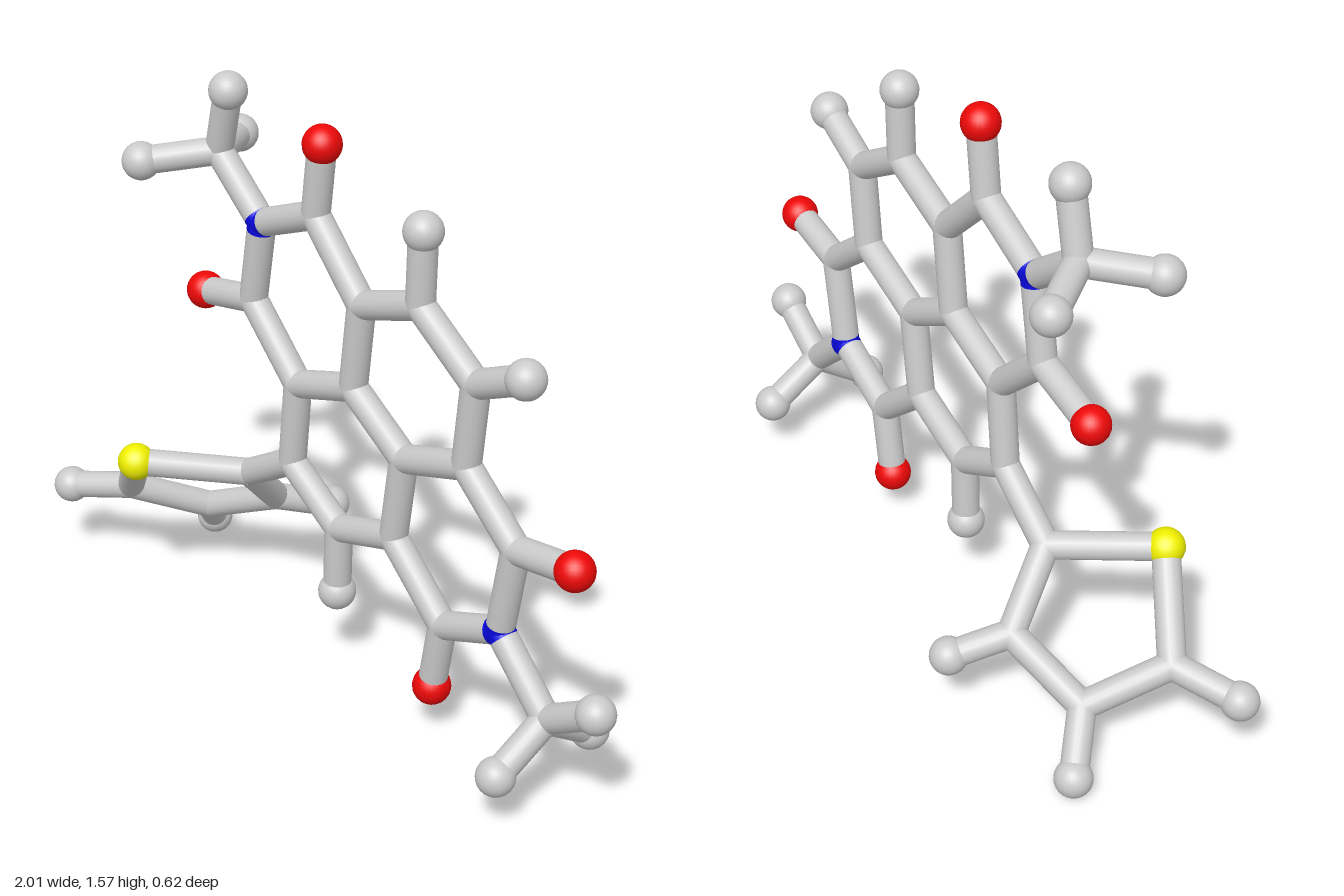
import * as THREE from 'three';

const STICK = 0.037, BALL = 0.05, STUB = 0.022;
const mats = {
  C: new THREE.MeshStandardMaterial({ color: 0xcccccc }),
  O: new THREE.MeshStandardMaterial({ color: 0xee0808 }),
  N: new THREE.MeshStandardMaterial({ color: 0x0808dd }),
  S: new THREE.MeshStandardMaterial({ color: 0xf0f000 }),
};
mats.H = mats.C;
const names = { C: 'carbonJoint', H: 'hydrogenBall', O: 'oxygenBall', N: 'nitrogenJoint', S: 'sulfurBall' };

// The fused rings lie in one slightly tilted plane
const plane = (x, y) => 0.058 + 0.035 * x + 0.01 * (y - 0.8);

// Each atom: x, y and, when off the plane, z. The first letter is the element.
const atoms = {
  // fused ring core
  C1: [0.09, 1.11], C2: [0.31, 1.19], C3: [0.51, 1.06], C4: [0.48, 0.83],
  C5: [0.25, 0.75], C6: [0.055, 0.87], C7: [-0.17, 0.79], C8: [-0.2, 0.55],
  C9: [-0.01, 0.435], C10: [0.21, 0.51],
  H2: [0.32, 1.385], H3: [0.68, 1.14], H9: [-0.02, 0.24],
  // upper left side ring
  C11: [-0.085, 1.29], O11: [-0.055, 1.485], N1: [-0.305, 1.195],
  C12: [-0.35, 0.965], O12: [-0.56, 0.915],
  // lower right side ring
  C13: [0.4, 0.34], O13: [0.36, 0.14], N2: [0.61, 0.43],
  C14: [0.66, 0.68], O14: [0.86, 0.715],
  // methyl ends
  C15: [-0.48, 1.335, 0.045], H15a: [-0.425, 1.515, 0.055],
  H15b: [-0.605, 1.31, 0.2], H15c: [-0.59, 1.31, -0.11],
  C16: [0.785, 0.265, 0.085], H16a: [0.95, 0.365, 0.09],
  H16b: [0.77, 0.16, 0.235], H16c: [0.785, 0.165, -0.07],
  // five-sided side ring
  C17: [-0.4, 0.43, 0.035], S1: [-0.6, 0.46, 0.26], C18: [-0.79, 0.265, 0.145],
  C19: [-0.7, 0.165, -0.06], C20: [-0.475, 0.265, -0.12],
  H18: [-0.955, 0.23, 0.23], H19: [-0.8, 0.05, -0.155], H20: [-0.41, 0.215, -0.265],
};

// Chains of bonded atoms, grouped by part
const chains = {
  fusedRings: ['C1 C2 C3 C4 C5 C6 C1', 'C6 C7 C8 C9 C10 C5', 'C2 H2', 'C3 H3', 'C9 H9'],
  upperSideRing: ['C1 C11 N1 C12 C7', 'C11 O11', 'C12 O12'],
  lowerSideRing: ['C10 C13 N2 C14 C4', 'C13 O13', 'C14 O14'],
  upperMethyl: ['N1 C15 H15a', 'H15b C15 H15c'],
  lowerMethyl: ['N2 C16 H16a', 'H16b C16 H16c'],
  sulfurRing: ['C8 C17 S1 C18 C19 C20 C17', 'C18 H18', 'C19 H19', 'C20 H20'],
};

const UP = new THREE.Vector3(0, 1, 0);
const at = (id) => {
  const [x, y, z = plane(x, y)] = atoms[id];
  return new THREE.Vector3(x, y, z);
};

function addStick(group, a, b, material, name) {
  const dir = b.clone().sub(a);
  const mesh = new THREE.Mesh(new THREE.CylinderGeometry(STICK, STICK, dir.length(), 20, 1), material);
  mesh.position.copy(a).lerp(b, 0.5);
  mesh.quaternion.setFromUnitVectors(UP, dir.normalize());
  mesh.name = name;
  group.add(mesh);
}

function addBond(group, idA, idB) {
  const a = at(idA), b = at(idB);
  const dir = b.clone().sub(a).normalize();
  // a nitrogen end gets a short blue stub before the grey stick begins
  for (const [id, p, sign] of [[idA, a, 1], [idB, b, -1]]) {
    if (id[0] !== 'N') continue;
    const start = p.clone();
    p.addScaledVector(dir, sign * STUB);
    addStick(group, start, p, mats.N, 'nitrogenStub');
  }
  addStick(group, a, b, mats.C, 'bondStick');
}

export function createModel() {
  const model = new THREE.Group();
  model.name = 'molecule';

  // Bonds
  for (const [part, list] of Object.entries(chains)) {
    const group = new THREE.Group();
    group.name = part;
    for (const chain of list) {
      const ids = chain.split(' ');
      for (let i = 1; i < ids.length; i++) addBond(group, ids[i - 1], ids[i]);
    }
    model.add(group);
  }

  // Atoms: large balls at the ends, stick-sized joints elsewhere
  const ball = new THREE.SphereGeometry(BALL, 24, 16);
  const joint = new THREE.SphereGeometry(STICK, 20, 14);
  const atomGroup = new THREE.Group();
  atomGroup.name = 'atoms';
  for (const id of Object.keys(atoms)) {
    const kind = id[0];
    const mesh = new THREE.Mesh('CN'.includes(kind) ? joint : ball, mats[kind]);
    mesh.position.copy(at(id));
    mesh.name = names[kind];
    atomGroup.add(mesh);
  }
  model.add(atomGroup);
  return model;
}
